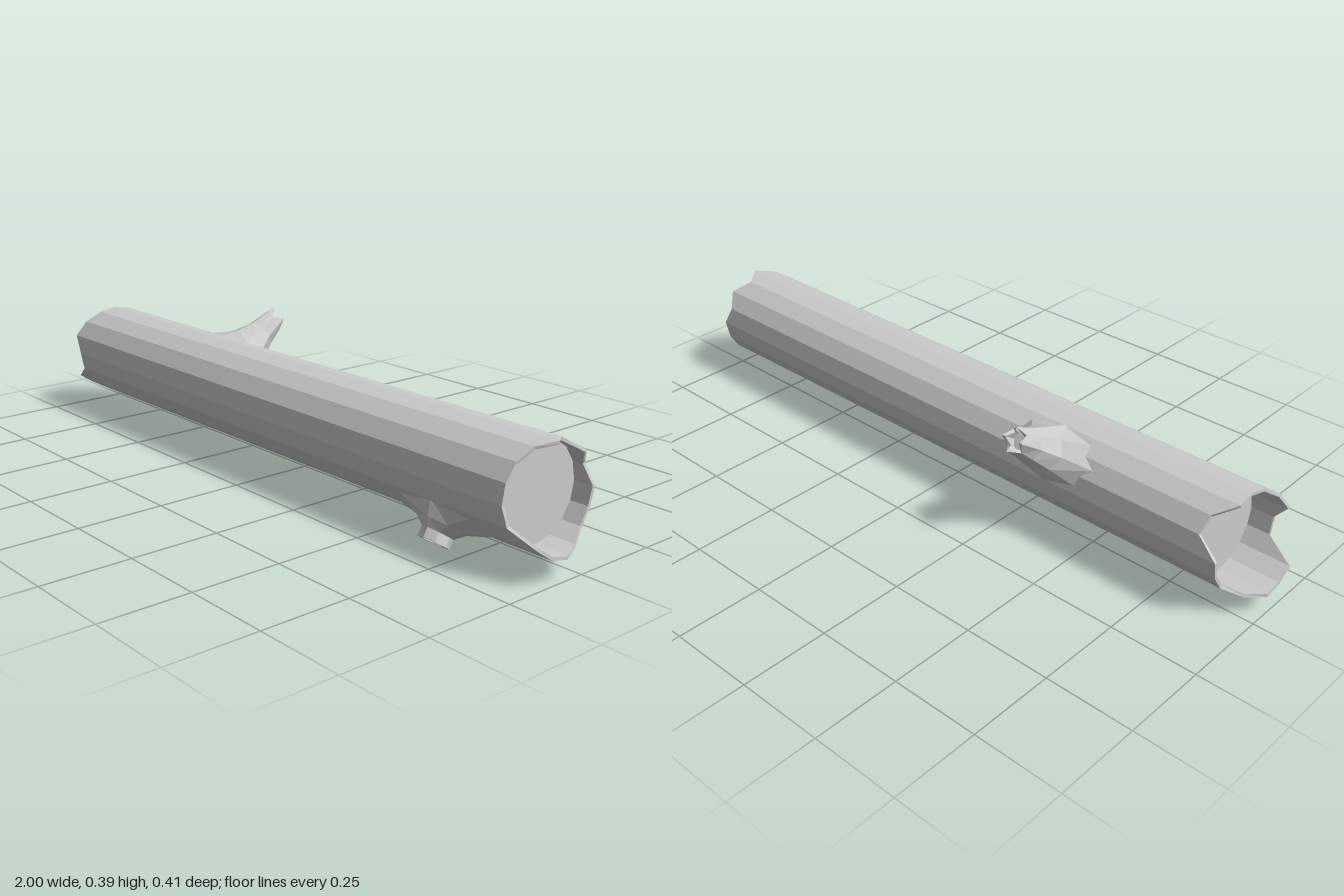
import * as THREE from 'three';

const SIDES = 16, R = 0.138, INNER = 0.129, CY = 0.191, CZ = 0.055;
const STEP = (Math.PI * 2) / SIDES;

// Faceted surface joining consecutive closed rings of points
function loft(rings) {
  const pos = [];
  const tri = (...pts) => pts.forEach(p => pos.push(p.x, p.y, p.z));
  for (let i = 0; i < rings.length - 1; i++) {
    const a = rings[i], b = rings[i + 1], n = a.length;
    for (let j = 0; j < n; j++) {
      const k = (j + 1) % n;
      if (!a[j].equals(a[k])) tri(a[j], a[k], b[j]);
      if (!b[j].equals(b[k])) tri(a[k], b[k], b[j]);
    }
  }
  const g = new THREE.BufferGeometry();
  g.setAttribute('position', new THREE.Float32BufferAttribute(pos, 3));
  g.computeVertexNormals();
  return g;
}

// Ring around the trunk axis; xs is one x or an x for each corner (top, then forwards)
function trunkRing(radius, xs) {
  return Array.from({ length: SIDES }, (_, k) => new THREE.Vector3(
    Array.isArray(xs) ? xs[k] : xs,
    CY + radius * Math.cos(k * STEP),
    CZ + radius * Math.sin(k * STEP)));
}

// Ring around a branch that leaves the trunk at x and corner position `at`
function branchRing(x, at, { r, w, t, shift = 0, jag, hug }) {
  const a = at * STEP, c = Math.cos(a), s = Math.sin(a), n = 8;
  return Array.from({ length: n }, (_, j) => {
    const q = (j / n) * Math.PI * 2;
    const side = -Math.sin(q) * t;
    // the base ring hugs the round trunk
    const out = hug ? Math.sqrt(r * r - side * side) : r + (jag ? jag[j] : 0);
    return new THREE.Vector3(x + shift + Math.cos(q) * w,
      CY + out * c - side * s, CZ + out * s + side * c);
  });
}

export function createModel() {
  const model = new THREE.Group();
  model.name = 'hollowLog';
  const bark = new THREE.MeshStandardMaterial({ color: 0xcccccc, flatShading: true });
  bark.name = 'greyWood';
  const add = (name, rings) => {
    const mesh = new THREE.Mesh(loft(rings), bark);
    mesh.name = name;
    model.add(mesh);
  };

  // Trunk with splintered rims and recessed end faces
  const leftRim = [-0.92, -0.925, -0.945, -0.96, -0.92, -0.92, -1, -1,
    -1, -0.965, -0.92, -0.92, -0.92, -0.86, -0.87, -0.92];
  const rightRim = [0.96, 0.93, 0.917, 0.915, 0.915, 0.925, 1, 1,
    1, 0.98, 0.96, 0.957, 0.96, 0.935, 0.96, 0.92];
  add('trunk', [
    trunkRing(0, -0.855), trunkRing(INNER, -0.855), trunkRing(INNER, leftRim),
    trunkRing(R, leftRim), trunkRing(R, rightRim),
    trunkRing(INNER, rightRim), trunkRing(INNER, 0.905), trunkRing(0, 0.905),
  ]);

  // Broken branch stub, up and back
  const jag = [0.005, -0.025, 0.008, -0.02, 0.012, -0.012, 0.01, -0.02];
  add('brokenBranch', [
    { r: 0.135, w: 0.14, t: 0.08, shift: -0.02, hug: true },
    { r: 0.165, w: 0.072, t: 0.06, shift: -0.005 },
    { r: 0.215, w: 0.045, t: 0.046 },
    { r: 0.29, w: 0.035, t: 0.034, jag },
    { r: 0.288, w: 0.025, t: 0.025, jag },
    { r: 0.25, w: 0.025, t: 0.025 },
    { r: 0.25, w: 0, t: 0 },
  ].map(o => branchRing(-0.365, 13.5, o)));

  // Short hollow knot, down and forwards
  add('knot', [
    { r: 0.135, w: 0.165, t: 0.078, hug: true },
    { r: 0.153, w: 0.075, t: 0.058 },
    { r: 0.175, w: 0.04, t: 0.043 },
    { r: 0.201, w: 0.043, t: 0.042 },
    { r: 0.201, w: 0.033, t: 0.032 },
    { r: 0.185, w: 0.031, t: 0.03 },
    { r: 0.185, w: 0, t: 0 },
  ].map(o => branchRing(0.682, 6.5, o)));

  return model;
}
